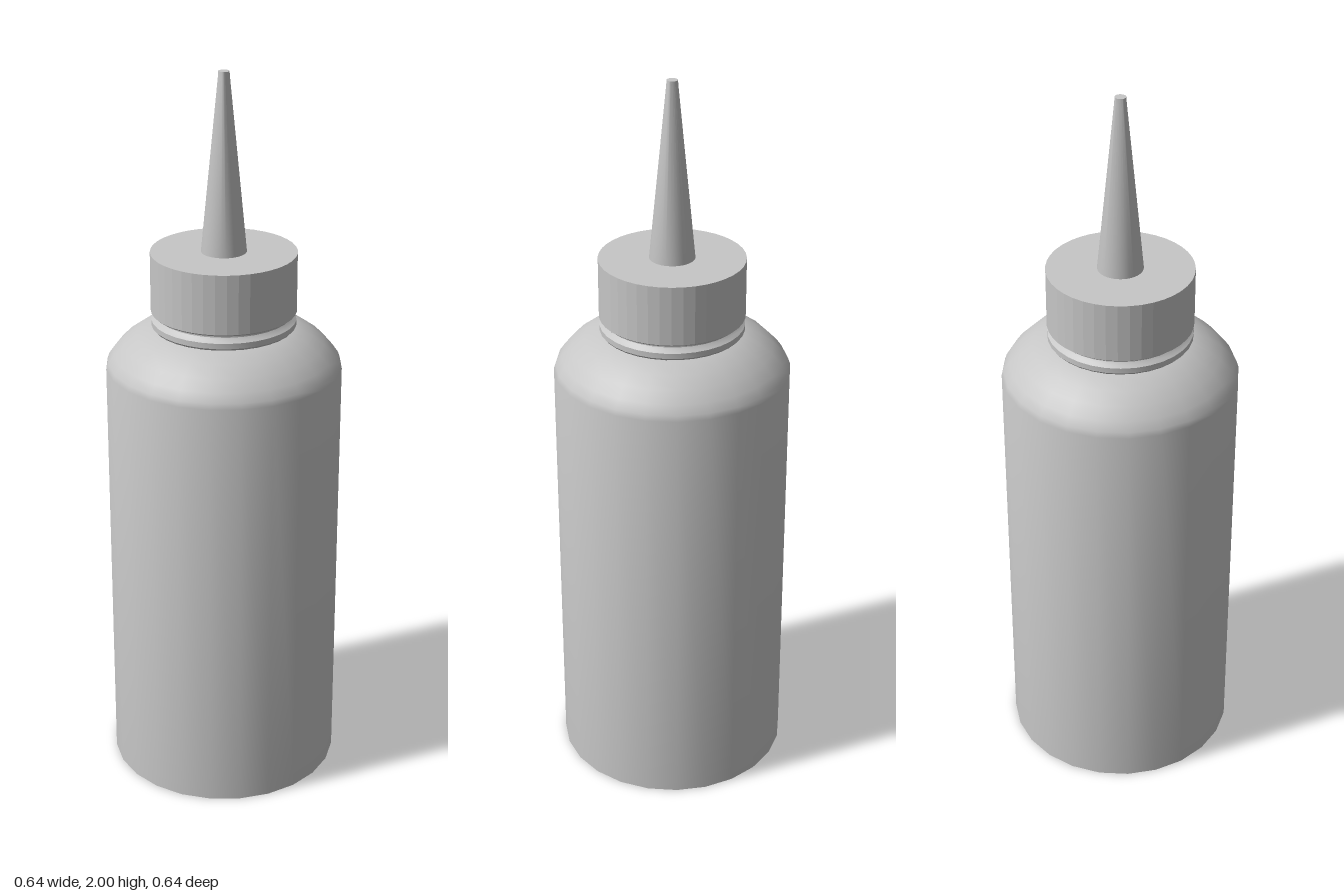
import * as THREE from 'three';
import { toCreasedNormals } from 'three/addons/utils/BufferGeometryUtils.js';

const plastic = new THREE.MeshStandardMaterial({ name: 'grey plastic', color: 0xc6c6c6 });

// Turned part from [radius, height] pairs, listed from the bottom up
function turned(name, profile, sides, crease) {
  const points = profile.map(([r, y]) => new THREE.Vector2(r, y));
  const geometry = toCreasedNormals(new THREE.LatheGeometry(points, sides), crease);
  const mesh = new THREE.Mesh(geometry, plastic);
  mesh.name = name;
  return mesh;
}

export function createModel() {
  const group = new THREE.Group();
  group.name = 'squeezeBottle';

  // Bottle: flat base, straight wall, rounded shoulder
  group.add(turned('bottleBody', [
    [0, 0], [0.32, 0], [0.32, 1.2], [0.315, 1.215], [0.299, 1.238],
    [0.272, 1.266], [0.238, 1.291], [0.2, 1.31], [0.18, 1.315],
  ], 24, 0.6));

  // Neck with a raised sealing ring
  group.add(turned('neckRing', [
    [0.18, 1.305], [0.19, 1.312], [0.195, 1.318], [0.195, 1.333],
    [0.187, 1.339], [0.182, 1.345], [0.182, 1.365],
  ], 32, 0.4));

  // Screw cap
  group.add(turned('cap', [
    [0, 1.352], [0.19, 1.352], [0.196, 1.357], [0.196, 1.52], [0, 1.52],
  ], 40, 0.1));

  // Tapered nozzle with a blunt tip
  group.add(turned('nozzle', [
    [0.061, 1.515], [0.061, 1.521], [0.0155, 1.985], [0.0145, 2], [0, 2],
  ], 32, 0.6));

  return group;
}
